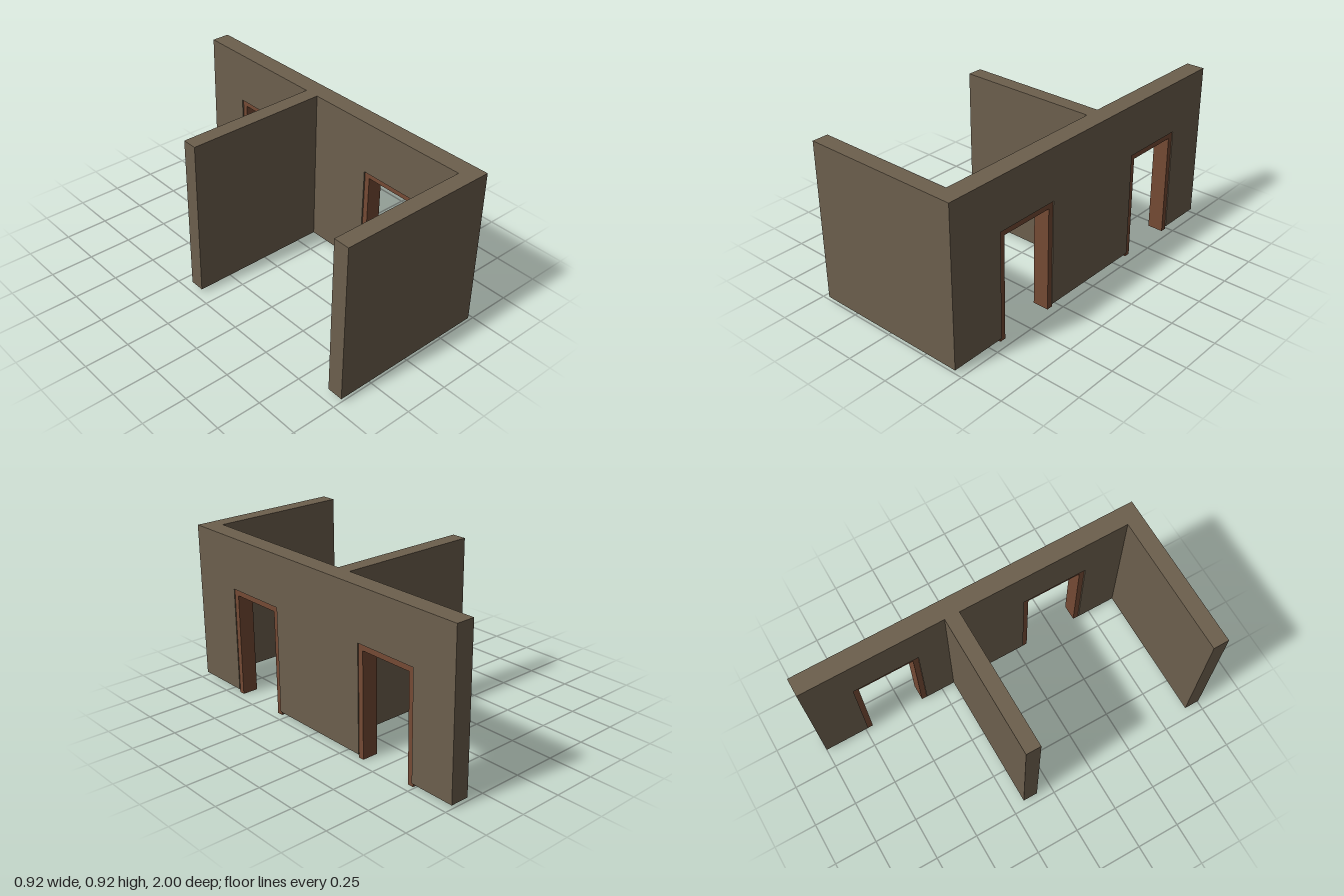
import * as THREE from 'three';

const wallMat = new THREE.MeshStandardMaterial({ color: 0x6c5f4d });
wallMat.name = 'wall brown';
const frameMat = new THREE.MeshStandardMaterial({ color: 0x744a34 });
frameMat.name = 'frame wood';

const BASE = 0.02, TOP = 0.92, INNER = 0.355, OUTER = 0.46;

// Extrudes a (z, y) outline across x, from x0 to x1
function extrudeAcross(points, x0, x1, material, name) {
  const shape = new THREE.Shape(points.map(([z, y]) => new THREE.Vector2(z, y)));
  const geometry = new THREE.ExtrudeGeometry(shape, { depth: x1 - x0, bevelEnabled: false });
  geometry.rotateY(-Math.PI / 2).translate(x1, 0, 0);
  const mesh = new THREE.Mesh(geometry, material);
  mesh.name = name;
  return mesh;
}

// Cross wall running from x0 to the inner face of the long wall
function crossWall(x0, z0, z1, name) {
  const geometry = new THREE.BoxGeometry(INNER - x0, TOP - BASE, z1 - z0);
  geometry.translate((x0 + INNER) / 2, (TOP + BASE) / 2, (z0 + z1) / 2);
  const mesh = new THREE.Mesh(geometry, wallMat);
  mesh.name = name;
  return mesh;
}

export function createModel() {
  const model = new THREE.Group();
  model.name = 'walls with doorways';

  // Doorway centres along z, opening half width and height
  const doors = [-0.543, 0.483];
  const half = 0.192, head = 0.626;

  // Long wall with two doorways notched from its lower edge
  const outline = [[-1, BASE]];
  for (const z of doors) {
    outline.push([z - half, BASE], [z - half, head], [z + half, head], [z + half, BASE]);
  }
  outline.push([1, BASE], [1, TOP], [-1, TOP]);
  model.add(extrudeAcross(outline, INNER, OUTER, wallMat, 'longWall'));

  // Cross walls
  model.add(crossWall(-0.45, 0.91, 1, 'frontWall'));
  model.add(crossWall(-0.46, -0.175, -0.09, 'partitionWall'));

  // Door frames, slightly recessed and reaching below the wall
  const o = half + 0.004, i = half - 0.031;
  doors.forEach((z, n) => {
    model.add(extrudeAcross([
      [z - o, 0], [z - i, 0], [z - i, 0.594], [z + i, 0.594],
      [z + i, 0], [z + o, 0], [z + o, head + 0.004], [z - o, head + 0.004],
    ], 0.363, 0.455, frameMat, n ? 'frontDoorFrame' : 'backDoorFrame'));
  });

  return model;
}
